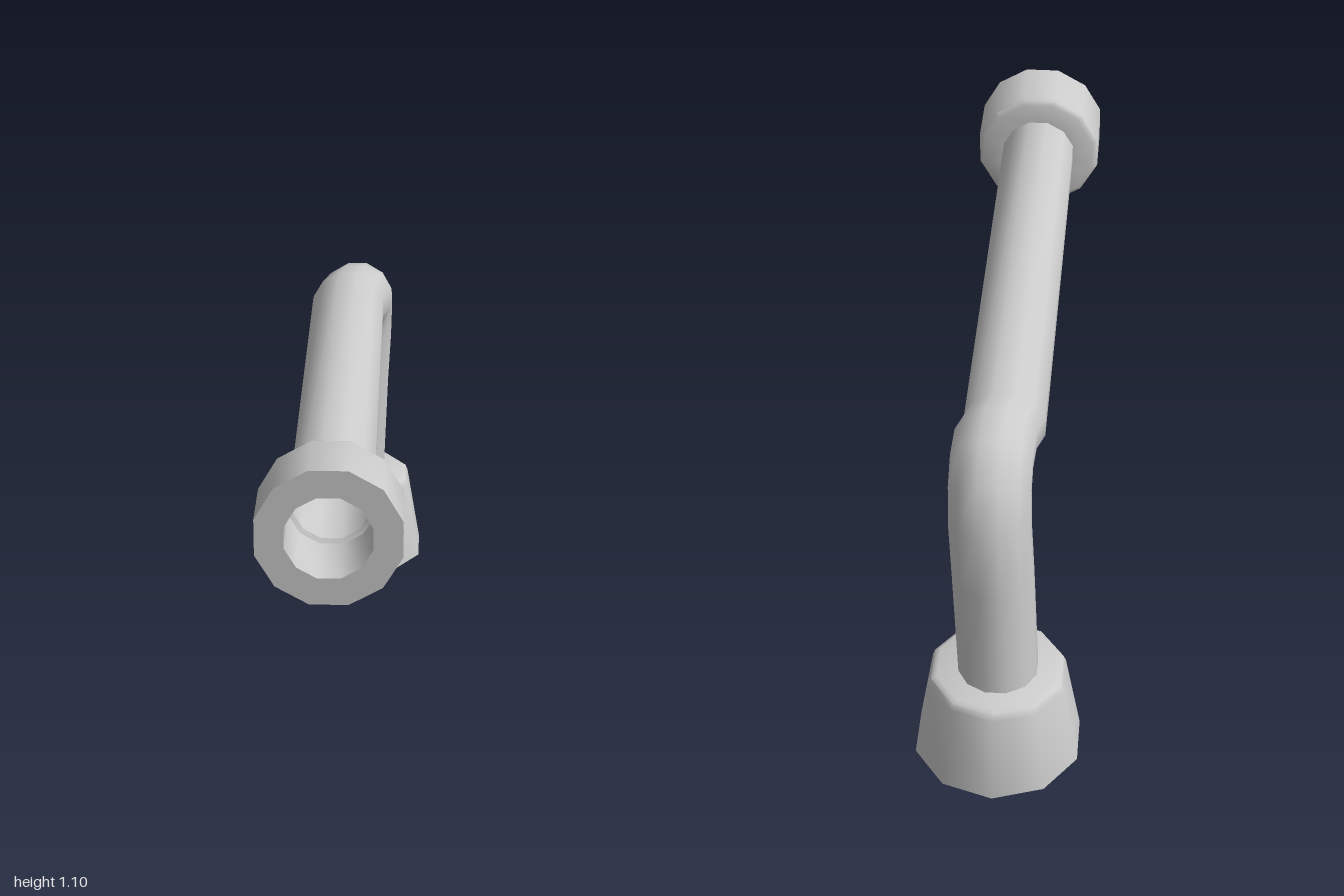
import * as THREE from 'three';
import { toCreasedNormals } from 'three/addons/utils/BufferGeometryUtils.js';

const material = new THREE.MeshStandardMaterial({ color: 0xcccccc, side: THREE.DoubleSide });

// Turned part with soft low-poly sides and sharp rims
function turned(name, profile, sides, start) {
  const points = profile.map(([r, y]) => new THREE.Vector2(r, y));
  const geometry = new THREE.LatheGeometry(points, sides, start);
  const mesh = new THREE.Mesh(toCreasedNormals(geometry, 0.75), material);
  mesh.name = name;
  return mesh;
}

// Open tube through rings of [x, y, z, bend in degrees]; the bend turns from -z down to -y
function bentPipe(rings, radius, sides) {
  const positions = [];
  const indices = [];
  rings.forEach(([x, y, z, bend], i) => {
    const t = THREE.MathUtils.degToRad(bend);
    for (let j = 0; j < sides; j++) {
      const a = ((j + 0.5) / sides) * Math.PI * 2;
      const v = radius * Math.sin(a);
      positions.push(x + radius * Math.cos(a), y + v * Math.cos(t), z - v * Math.sin(t));
      if (i === 0) continue;
      const k = (j + 1) % sides;
      const p = (i - 1) * sides;
      const q = i * sides;
      indices.push(p + j, q + j, p + k, p + k, q + j, q + k);
    }
  });
  const geometry = new THREE.BufferGeometry();
  geometry.setAttribute('position', new THREE.Float32BufferAttribute(positions, 3));
  geometry.setIndex(indices);
  geometry.computeVertexNormals();
  return geometry;
}

export function createModel() {
  const model = new THREE.Group();
  model.name = 'bentPipe';

  // Tapered foot with a rounded top rim
  const foot = turned('foot', [
    [0, 0], [0.2325, 0], [0.19, 0.245], [0.183, 0.262], [0.168, 0.27], [0, 0.27],
  ], 10, 0);
  foot.position.z = -0.767;
  model.add(foot);

  // Hollow pipe: long arm, slightly sideways elbow, upright
  const pipe = new THREE.Mesh(bentPipe([
    [-0.005, 0.92, 0.81, 0],
    [-0.005, 0.92, -0.55, 0],
    [0.014, 0.92, -0.61, 5],
    [0.019, 0.9, -0.675, 25],
    [0.02, 0.85, -0.726, 50],
    [0.018, 0.76, -0.755, 74],
    [0.01, 0.6, -0.766, 88],
    [-0.002, 0.26, -0.767, 90],
  ], 0.109, 12), material);
  pipe.name = 'pipe';
  model.add(pipe);

  // Ring collar around the open end
  const collar = turned('collar', [
    [0.1, 0.808], [0.168, 0.808], [0.181, 0.815], [0.187, 0.83],
    [0.187, 1], [0.112, 1], [0.112, 0.815], [0.1, 0.808],
  ], 12, Math.PI / 12);
  collar.rotation.x = Math.PI / 2;
  collar.position.set(-0.005, 0.92, 0);
  model.add(collar);

  return model;
}
